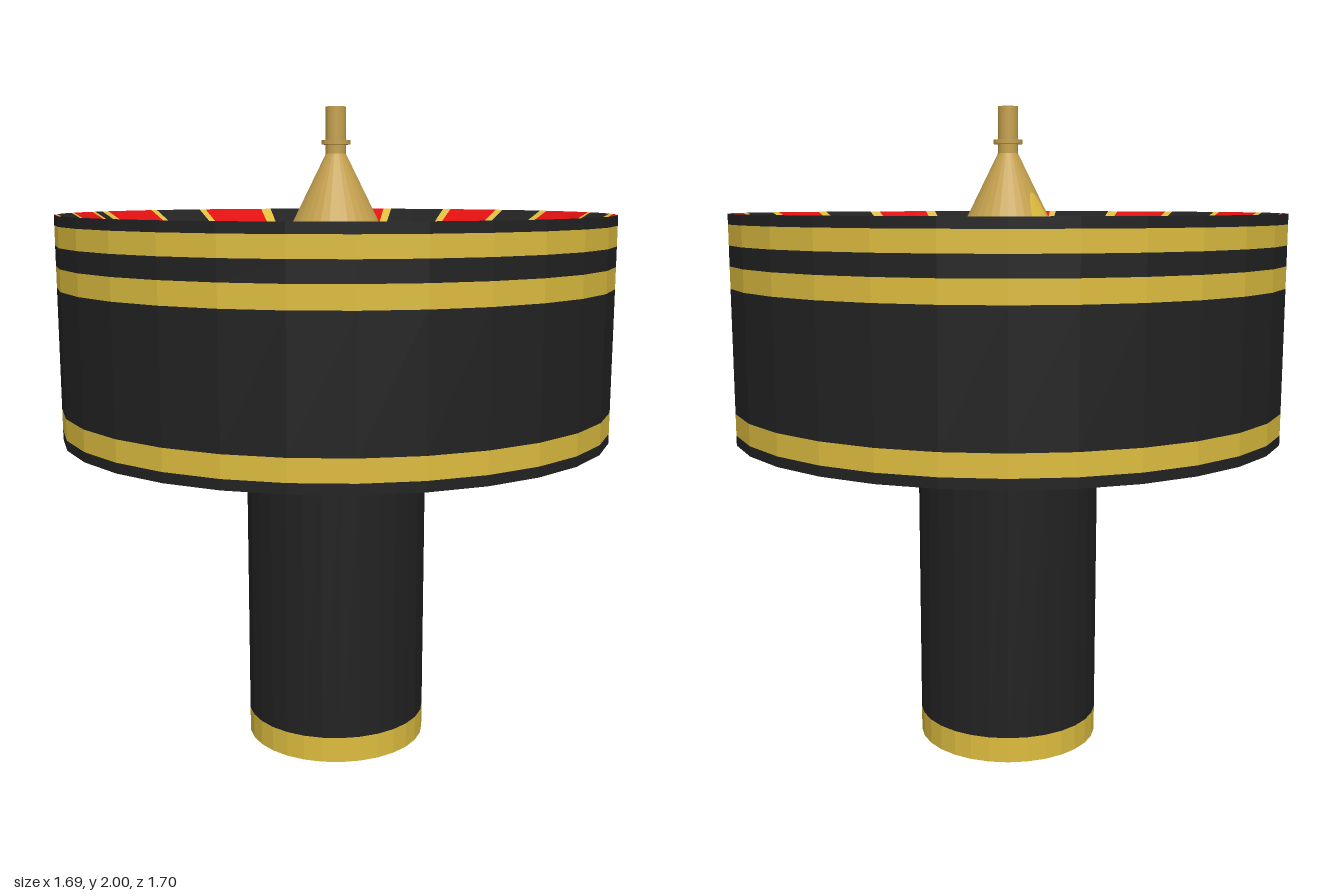
import * as THREE from 'three';

const SIDES = 30;
const STEP = 360 / SIDES;
const RIM = { r: 0.85, y: 1.68 };
const FLOOR = { r: 0.636, y: 1.555 };

// gold dividers around the bowl: [start, end] in degrees, clockwise from the back
const DIVIDERS = [
  [3.8, 5.8], [19.4, 21.4], [34, 36], [47.8, 50.3], [67.2, 68.5], [80.6, 83.6],
  [97.5, 99.8], [111.8, 114.4], [128.4, 131], [144, 146.5], [159, 161.4], [174, 176.6],
  [190.8, 192.3], [206, 208.6], [222, 224], [237.2, 239], [254, 257], [269.2, 270.7],
  [280.2, 281.4], [284.4, 287], [301.8, 303.4], [315.9, 317.6], [332.5, 335], [348, 350.2],
];

function material(name, color, side = THREE.FrontSide) {
  const m = new THREE.MeshStandardMaterial({ color, side });
  m.name = name;
  return m;
}

// facet every side of a geometry
function faceted(geometry) {
  const g = geometry.index ? geometry.toNonIndexed() : geometry;
  g.computeVertexNormals();
  return g;
}

// point on the faceted bowl ring at an angle
function ringPoint({ r, y }, deg) {
  const rad = THREE.MathUtils.degToRad;
  const within = ((deg % STEP) + STEP) % STEP - STEP / 2;
  const d = (r * Math.cos(rad(STEP / 2))) / Math.cos(rad(within));
  return [d * Math.sin(rad(deg)), y, -d * Math.cos(rad(deg))];
}

// sloping sectors of the bowl, cut at each corner of the rim
function sectors(ranges) {
  const pos = [];
  for (const [from, to] of ranges) {
    let a = from;
    while (a < to - 1e-6) {
      const b = Math.min(to, (Math.floor(a / STEP + 1e-6) + 1) * STEP);
      const o0 = ringPoint(RIM, a), o1 = ringPoint(RIM, b);
      const i0 = ringPoint(FLOOR, a), i1 = ringPoint(FLOOR, b);
      pos.push(...o0, ...i0, ...i1, ...o0, ...i1, ...o1);
      a = b;
    }
  }
  const g = new THREE.BufferGeometry();
  g.setAttribute('position', new THREE.Float32BufferAttribute(pos, 3));
  g.computeVertexNormals();
  return g;
}

export function createModel() {
  const model = new THREE.Group();
  model.name = 'rouletteTable';

  const black = material('black', 0x222222, THREE.DoubleSide);
  const gold = material('gold', 0xdebd3f, THREE.DoubleSide);
  const brass = material('brass', 0xc6a24e);
  const red = material('red', 0xe01010);
  const green = material('green', 0x24a080);

  const add = (name, geometry, mat, parent = model) => {
    const mesh = new THREE.Mesh(geometry, mat);
    mesh.name = name;
    parent.add(mesh);
    return mesh;
  };

  const band = (name, r, y0, y1, mat, parent) => {
    const g = new THREE.CylinderGeometry(r, r, y1 - y0, SIDES, 1, true);
    g.translate(0, (y0 + y1) / 2, 0);
    return add(name, faceted(g), mat, parent);
  };

  // flat disc with corners at front and back, facing up or down
  const disc = (name, r, y, mat, up = true, parent = model) => {
    const g = new THREE.CircleGeometry(r, SIDES, Math.PI / 2);
    g.rotateX(up ? -Math.PI / 2 : Math.PI / 2);
    g.translate(0, y, 0);
    return add(name, g, mat, parent);
  };

  // hollow pedestal, open at the foot
  const pedestal = new THREE.Group();
  pedestal.name = 'pedestal';
  model.add(pedestal);
  band('footBand', 0.285, 0, 0.08, gold, pedestal);
  band('post', 0.285, 0.08, 1, black, pedestal);

  // drum with gold bands
  const drum = new THREE.Group();
  drum.name = 'drum';
  model.add(drum);
  const levels = [1, 1.03, 1.095, 1.465, 1.53, 1.59, 1.65, RIM.y];
  for (let i = 0; i < levels.length - 1; i++) {
    const isGold = i % 2 === 1;
    band(isGold ? 'drumGoldBand' : 'drumBlackBand', RIM.r, levels[i], levels[i + 1], isGold ? gold : black, drum);
  }
  disc('drumUnderside', RIM.r, 1, black, false, drum);

  // bowl: green floor and coloured pockets on the slope
  const bowl = new THREE.Group();
  bowl.name = 'bowl';
  model.add(bowl);
  disc('bowlFloor', FLOOR.r, FLOOR.y, green, true, bowl);
  const pockets = DIVIDERS.map(([, end], i) => {
    const next = DIVIDERS[(i + 1) % DIVIDERS.length][0];
    return [end, next < end ? next + 360 : next];
  });
  add('blackPockets', sectors(pockets.filter((_, i) => i % 2 === 0)), black, bowl);
  add('redPockets', sectors(pockets.filter((_, i) => i % 2 === 1)), red, bowl);
  add('pocketDividers', sectors(DIVIDERS), gold, bowl);

  // central cone, collar and stem
  const spindle = new THREE.Group();
  spindle.name = 'spindle';
  model.add(spindle);
  const profile = [
    [0.183, FLOOR.y], [0.031, 1.86], [0.031, 1.887], [0.044, 1.888],
    [0.044, 1.901], [0.031, 1.902], [0.031, 2],
  ].map(([x, y]) => new THREE.Vector2(x, y));
  add('coneAndStem', faceted(new THREE.LatheGeometry(profile, SIDES)), brass, spindle);
  disc('stemTop', 0.031, 2, black, true, spindle);

  // gold oval wrapped on the cone
  const oval = new THREE.CircleGeometry(1, 20);
  const p = oval.attributes.position;
  for (let i = 0; i < p.count; i++) {
    const r = 0.132 + 0.042 * p.getY(i);
    const a = Math.atan2(-0.105, -0.09) + 0.27 * p.getX(i);
    const y = FLOOR.y + ((0.183 - r) / 0.152) * 0.305;
    p.setXYZ(i, (r + 0.004) * Math.sin(a), y + 0.002, (r + 0.004) * Math.cos(a));
  }
  oval.computeVertexNormals();
  add('coneOval', oval, gold, spindle);

  return model;
}
